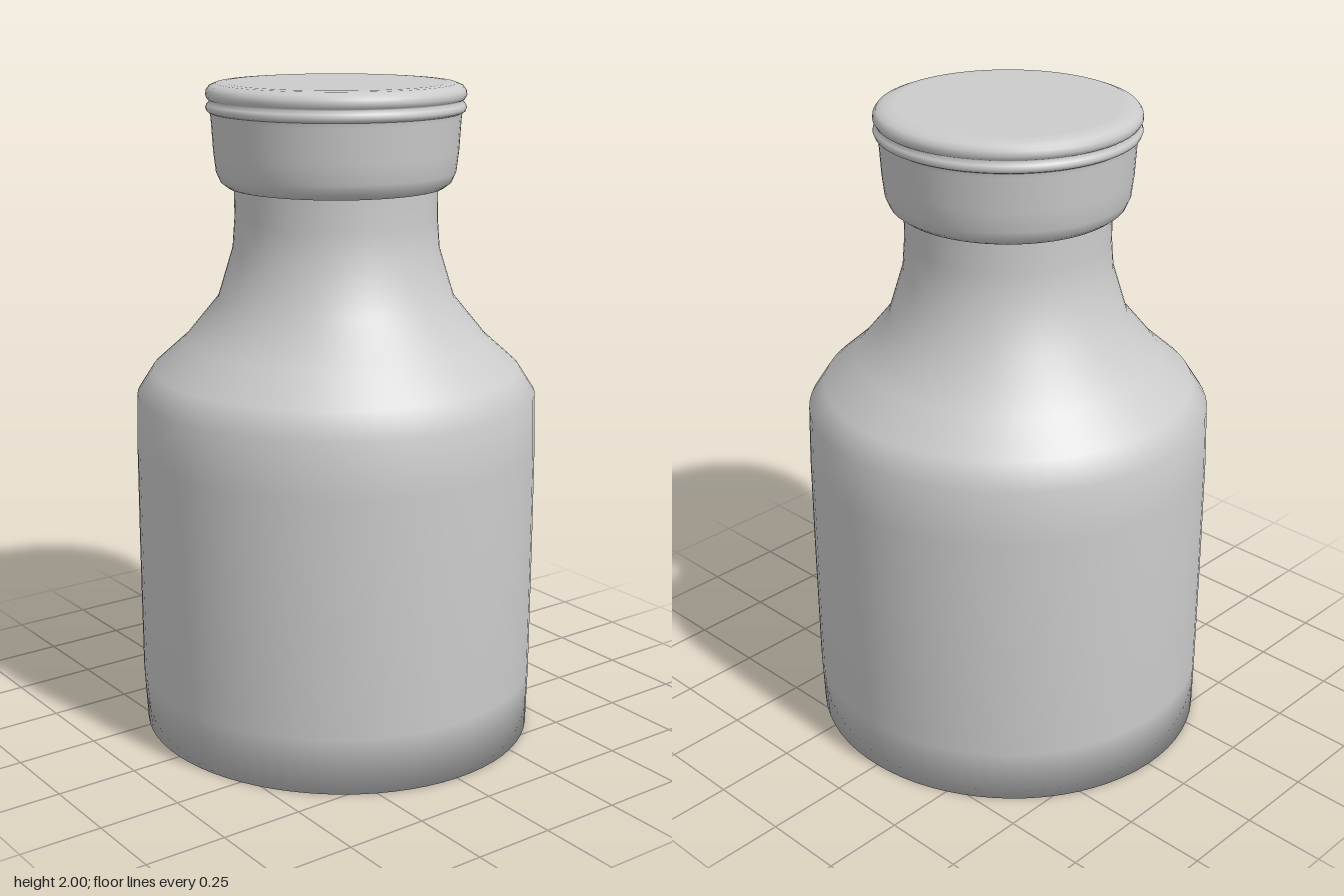
import * as THREE from 'three';

const material = new THREE.MeshStandardMaterial({ color: 0xcccccc });
const SEGMENTS = 72;

// Turns a [radius, height] profile around the y axis
function turned(name, profile) {
  const points = profile.map(([r, y]) => new THREE.Vector2(r, y));
  const mesh = new THREE.Mesh(new THREE.LatheGeometry(points, SEGMENTS), material);
  mesh.name = name;
  return mesh;
}

export function createModel() {
  const group = new THREE.Group();
  group.name = 'bottle';

  // Body with soft base, straight wall, sloping shoulder and neck
  const body = turned('body', [
    [0, 0], [0.6, 0], [0.613, 0.18], [0.614, 0.6], [0.613, 0.9], [0.608, 1.07],
    [0.56, 1.145], [0.46, 1.235], [0.358, 1.36], [0.312, 1.51], [0.305, 1.6], [0.305, 1.7],
  ]);
  // The foot is slightly oval, longest along a direction between +x and +z
  const position = body.geometry.attributes.position;
  for (let i = 0; i < position.count; i++) {
    const x = position.getX(i), z = position.getZ(i);
    if (position.getY(i) > 0.01 || Math.hypot(x, z) < 0.01) continue;
    const s = 1 + 0.02 * Math.cos(2 * (Math.atan2(z, x) - 1.17));
    position.setX(i, x * s);
    position.setZ(i, z * s);
  }
  group.add(body);

  // Stopper with a rounded lower edge
  group.add(turned('stopper', [
    [0.29, 1.692], [0.325, 1.695], [0.345, 1.71], [0.358, 1.74], [0.365, 1.8],
    [0.371, 1.9], [0.374, 1.915],
  ]));

  // Two beads around the rim and the flat top
  group.add(turned('rim', [
    [0.372, 1.913], [0.382, 1.918], [0.386, 1.928], [0.382, 1.938], [0.372, 1.948],
    [0.38, 1.953], [0.386, 1.964], [0.384, 1.978], [0.375, 1.99], [0.355, 1.998], [0.33, 2],
  ]));
  group.add(turned('top', [[0.33, 2], [0, 2]]));

  return group;
}
